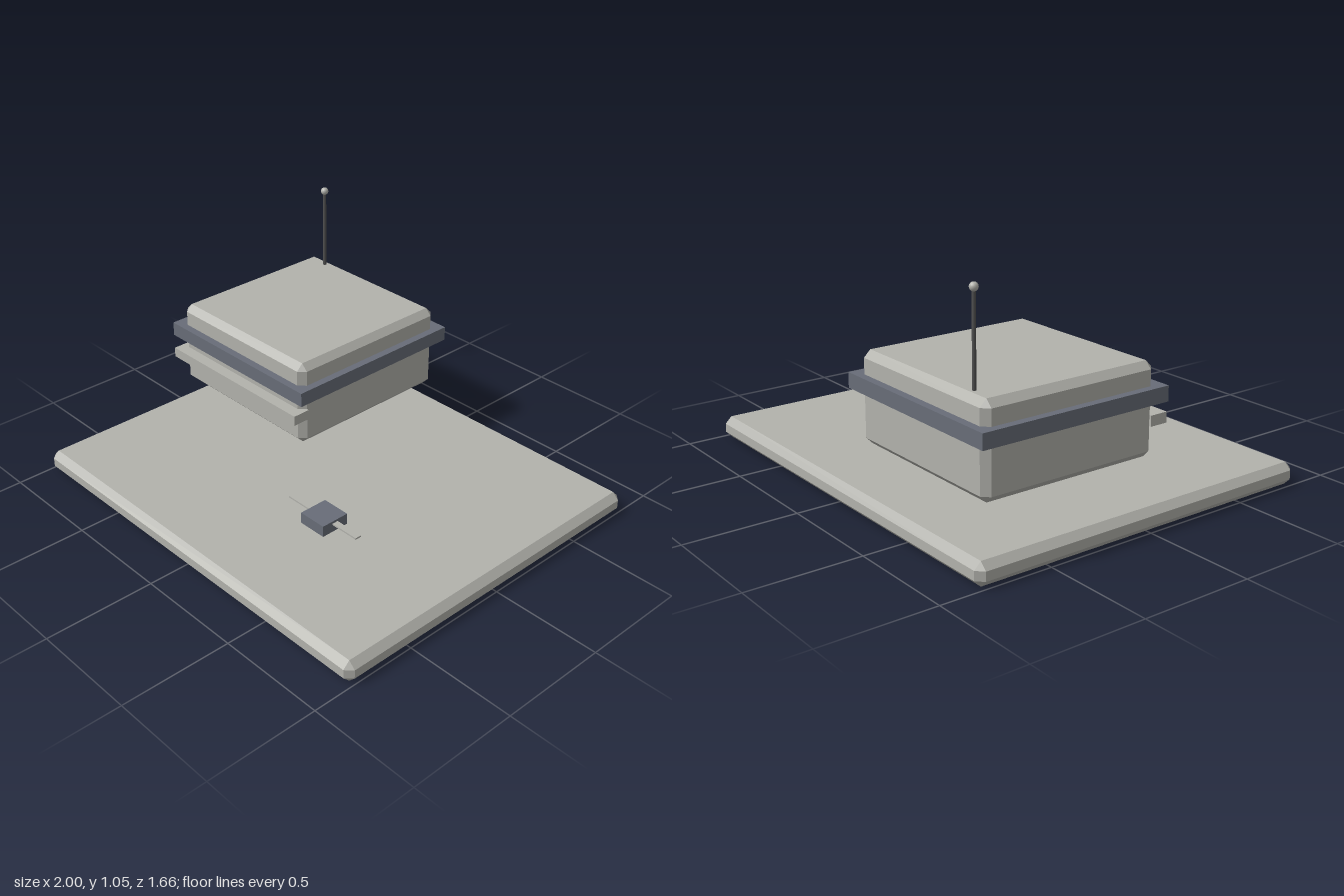
import * as THREE from 'three';
import { ConvexGeometry } from 'three/addons/geometries/ConvexGeometry.js';

const material = (name, color) => {
  const m = new THREE.MeshStandardMaterial({ color });
  m.name = name;
  return m;
};

// Box with all edges cut flat by c, corners becoming small triangles
function chamferedBox(w, h, d, c) {
  const points = [];
  for (const x of [-1, 1]) for (const y of [-1, 1]) for (const z of [-1, 1]) {
    points.push(
      new THREE.Vector3(x * w / 2, y * (h / 2 - c), z * (d / 2 - c)),
      new THREE.Vector3(x * (w / 2 - c), y * h / 2, z * (d / 2 - c)),
      new THREE.Vector3(x * (w / 2 - c), y * (h / 2 - c), z * d / 2)
    );
  }
  return new ConvexGeometry(points);
}

export function createModel() {
  const stone = material('pale grey', 0xb2b2ac);
  const slate = material('slate blue grey', 0x686d78);
  const dark = material('dark grey', 0x505050);

  const model = new THREE.Group();
  model.name = 'floatingStation';

  const add = (parent, name, geometry, mat, x, y, z) => {
    const mesh = new THREE.Mesh(geometry, mat);
    mesh.name = name;
    mesh.position.set(x, y, z);
    parent.add(mesh);
    return mesh;
  };

  // Ground slab
  add(model, 'baseSlab', chamferedBox(2, 0.1, 1.66, 0.03), stone, 0, 0.05, 0);

  // Hovering building, with its band, front ledge and antenna
  const building = new THREE.Group();
  building.name = 'building';
  building.position.set(-0.468, 0, -0.302);
  model.add(building);
  add(building, 'body', chamferedBox(0.83, 0.397, 0.83, 0.03), stone, 0, 0.453, 0);
  add(building, 'band', new THREE.BoxGeometry(0.9, 0.066, 0.9), slate, 0, 0.52, 0);
  add(building, 'frontLedge', new THREE.BoxGeometry(0.85, 0.046, 0.083), stone, 0, 0.412, 0.427);
  add(building, 'antennaRod', new THREE.CylinderGeometry(0.008, 0.008, 0.4, 12), dark, -0.284, 0.835, -0.364);
  add(building, 'antennaTip', new THREE.SphereGeometry(0.018, 16, 12), stone, -0.284, 1.036, -0.364);

  // Small flying craft with a thin crosswise wing
  const drone = new THREE.Group();
  drone.name = 'drone';
  drone.position.set(0.415, 0.262, 0.415);
  model.add(drone);
  add(drone, 'droneBody', new THREE.BoxGeometry(0.132, 0.05, 0.132), slate, 0, 0, 0);
  add(drone, 'droneWing', new THREE.BoxGeometry(0.4, 0.007, 0.028), stone, 0, 0.011, 0);

  return model;
}
